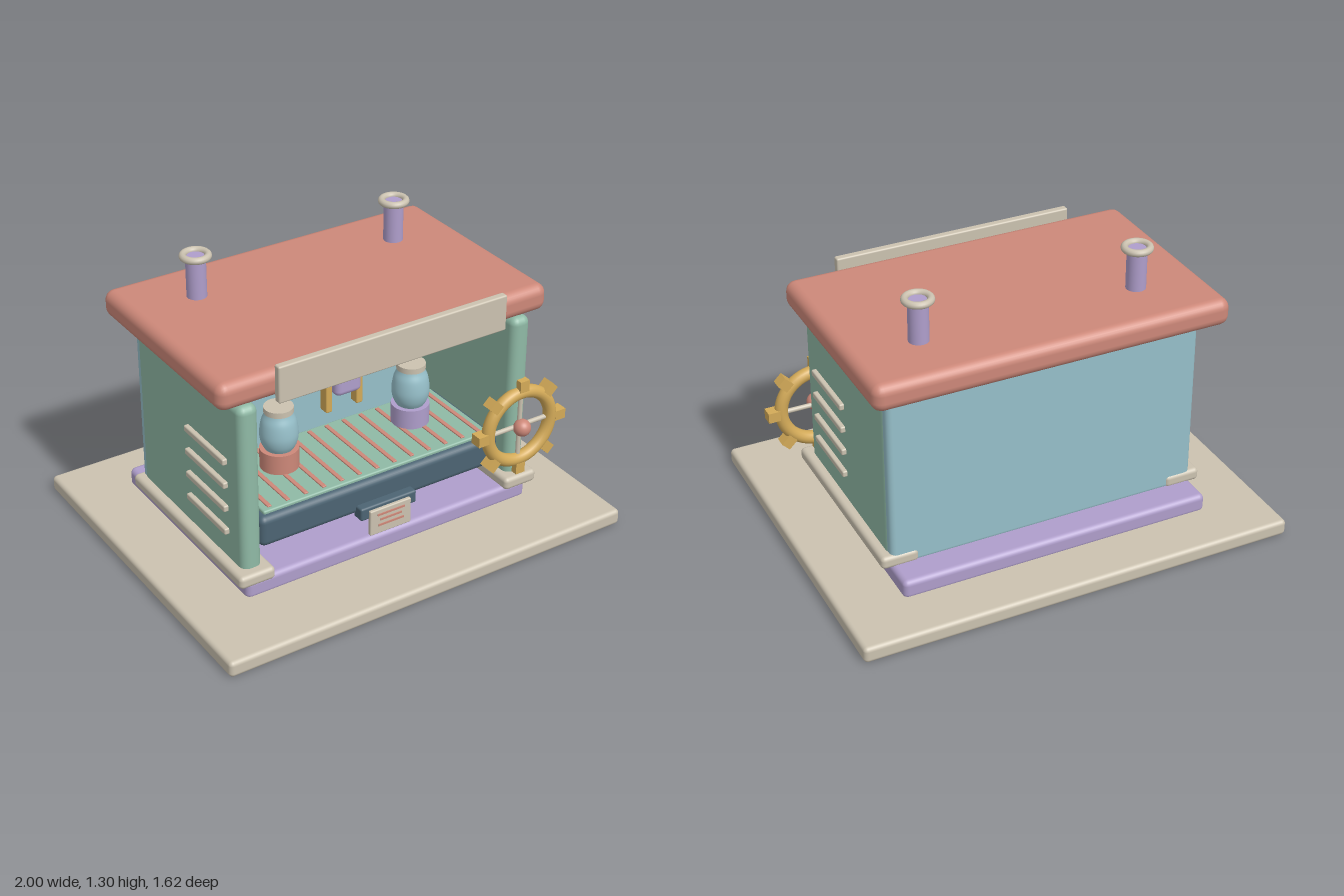
import * as THREE from 'three';
import { RoundedBoxGeometry } from 'three/addons/geometries/RoundedBoxGeometry.js';

const paint = (name, color) => {
  const m = new THREE.MeshStandardMaterial({ color });
  m.name = name;
  return m;
};

export function createModel() {
  const model = new THREE.Group();
  model.name = 'kiosk';
  const cream = paint('cream', 0xcbc2b0);
  const lavender = paint('lavender', 0xaf9ecb);
  const coral = paint('coral', 0xcd8879);
  const green = paint('sage green', 0x8fb9a5);
  const blue = paint('pale blue', 0x96bfc9);
  const slate = paint('slate', 0x4c6473);
  const gold = paint('gold', 0xd3aa58);

  const add = (name, geometry, material, x = 0, y = 0, z = 0, parent = model) => {
    const mesh = new THREE.Mesh(geometry, material);
    mesh.name = name;
    mesh.position.set(x, y, z);
    parent.add(mesh);
    return mesh;
  };
  // Rounded box given by its limits on each axis
  const block = (name, material, [x0, x1], [y0, y1], [z0, z1], r = 0.01, parent = model) =>
    add(name, new RoundedBoxGeometry(x1 - x0, y1 - y0, z1 - z0, 3, r), material,
      (x0 + x1) / 2, (y0 + y1) / 2, (z0 + z1) / 2, parent);
  const rod = (r, h) => new THREE.CylinderGeometry(r, r, h, 32);

  // Ground slab, plinth, back wall and roof
  block('groundSlab', cream, [-1, 1], [0, 0.075], [-0.81, 0.81], 0.02);
  block('plinth', lavender, [-0.722, 0.722], [0.06, 0.15], [-0.575, 0.475], 0.025);
  block('backWall', blue, [-0.72, 0.72], [0.135, 0.958], [-0.44, -0.37], 0.025);
  block('roof', coral, [-0.81, 0.81], [0.972, 1.096], [-0.55, 0.448], 0.045);
  block('roofBoard', cream, [-0.56, 0.56], [0.964, 1.131], [0.448, 0.484], 0.008);

  // Mirrored side walls, skids, vents and chimneys
  for (const s of [-1, 1]) {
    const span = (a, b) => (s > 0 ? [a, b] : [-b, -a]);
    block('sideWall', green, span(0.63, 0.724), [0.13, 0.97], [-0.42, 0.45], 0.035);
    block('skid', cream, span(0.595, 0.765), [0.14, 0.2], [-0.447, 0.497], 0.02);
    for (let i = 0; i < 4; i++) {
      const y = 0.335 + i * 0.113;
      block('sideVent', cream, span(0.715, 0.745), [y - 0.015, y + 0.015], [0.015, 0.34], 0.007);
    }
    add('chimney', rod(0.044, 0.2), lavender, s * 0.5, 1.184, -0.275);
    add('chimneyRim', new THREE.TorusGeometry(0.054, 0.016, 12, 40), cream, s * 0.5, 1.284, -0.275)
      .rotation.x = Math.PI / 2;
    add('indicatorLamp', new THREE.SphereGeometry(0.023, 20, 14), s > 0 ? green : gold,
      s * 0.375, 0.846, -0.362);
  }

  // Counter tray with slatted grate
  block('counterTray', slate, [-0.612, 0.612], [0.24, 0.386], [-0.1, 0.41], 0.03);
  block('grate', green, [-0.58, 0.58], [0.375, 0.4], [-0.07, 0.38], 0.008);
  for (let i = 0; i < 13; i++) {
    const x = -0.54 + i * 0.09;
    block('grateSlat', coral, [x - 0.01, x + 0.01], [0.398, 0.406], [-0.05, 0.36], 0.003);
  }

  // Notice plate hanging from the tray
  block('plateBracket', slate, [-0.143, 0.143], [0.225, 0.287], [0.39, 0.45], 0.01);
  block('noticePlate', cream, [-0.105, 0.105], [0.146, 0.27], [0.445, 0.465], 0.006);
  [[0.244, 0.07], [0.218, 0.055], [0.191, 0.065]].forEach(([y, w]) =>
    add('plateStripe', new THREE.BoxGeometry(w * 2, 0.009, 0.006), coral, 0, y, 0.466));

  // Jars on coloured stands
  const jarProfile = [[0.06, 0.49], [0.076, 0.52], [0.084, 0.555], [0.083, 0.59],
    [0.076, 0.63], [0.064, 0.66], [0.058, 0.68]].map(p => new THREE.Vector2(...p));
  const jarCurve = new THREE.SplineCurve(jarProfile).getPoints(24);
  for (const s of [-1, 1]) {
    const jar = new THREE.Group();
    jar.name = 'jar';
    jar.position.set(s * 0.34, 0, 0.11);
    model.add(jar);
    add('jarStand', rod(0.086, 0.092), s > 0 ? lavender : coral, 0, 0.45, 0, jar);
    add('jarBody', new THREE.LatheGeometry(jarCurve, 40), blue, 0, 0, 0, jar);
    add('jarLid', rod(0.065, 0.026), cream, 0, 0.684, 0, jar);
  }

  // Dispenser reaching forward from the back wall
  block('dispenserArm', gold, [-0.056, 0.056], [0.832, 0.942], [-0.38, 0.08], 0.006);
  block('dispenserHead', lavender, [-0.066, 0.066], [0.656, 0.82], [0.01, 0.14], 0.025);
  add('dispenserCollar', rod(0.034, 0.06), cream, 0, 0.832, 0.08);
  for (const s of [-1, 1])
    block('dispenserHandle', gold, [s * 0.078 - 0.016, s * 0.078 + 0.016], [0.57, 0.702], [0.05, 0.1], 0.006);

  // Hand wheel on the left front post
  const wheel = new THREE.Group();
  wheel.name = 'handWheel';
  wheel.position.set(0.686, 0.434, 0.453);
  model.add(wheel);
  add('wheelRim', new THREE.TorusGeometry(0.17, 0.03, 16, 64), gold, 0, 0, 0, wheel);
  add('wheelHub', new THREE.SphereGeometry(0.04, 28, 20), coral, 0, 0, 0.022, wheel);
  for (let i = 0; i < 8; i++) {
    const a = i * Math.PI / 4;
    add('wheelPeg', new THREE.BoxGeometry(0.055, 0.048, 0.055), gold,
      0.21 * Math.cos(a), 0.21 * Math.sin(a), 0, wheel).rotation.z = a;
  }
  for (let i = 0; i < 2; i++)
    add('wheelSpoke', rod(0.011, 0.31), cream, 0, 0, 0, wheel).rotation.z = i * Math.PI / 2;

  return model;
}
